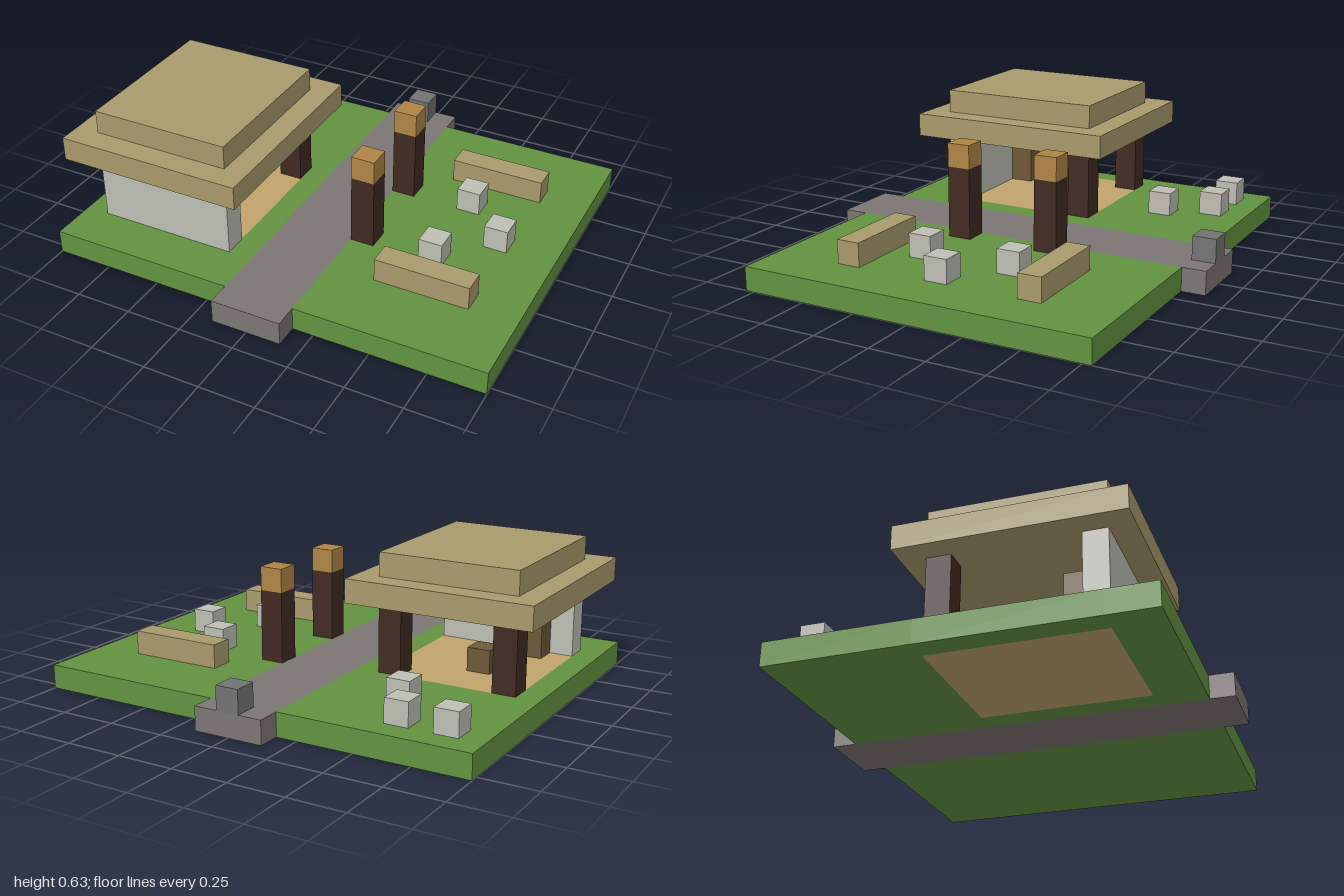
import * as THREE from 'three';

const U = 2 / 19; // one block

const mat = (name, color) => {
  const m = new THREE.MeshStandardMaterial({ color });
  m.name = name;
  return m;
};

export function createModel() {
  const grass = mat('grass green', 0x629240);
  const path = mat('path grey', 0x7b7674);
  const marker = mat('marker grey', 0x737373);
  const straw = mat('straw tan', 0xa99a6c);
  const sand = mat('floor tan', 0xc2a46c);
  const stone = mat('pale stone', 0xbdbeb4);
  const timber = mat('dark timber', 0x402a22);
  const wood = mat('brown wood', 0x6c5937);
  const lamp = mat('lamp amber', 0xb08545);

  const model = new THREE.Group();
  model.name = 'gardenPavilion';

  // Box from min/max block coordinates on a 19 x 6 x 17 grid
  const block = (name, material, [x0, x1], [y0, y1], [z0, z1], parent = model) => {
    const mesh = new THREE.Mesh(
      new THREE.BoxGeometry((x1 - x0) * U, (y1 - y0) * U, (z1 - z0) * U), material);
    mesh.position.set(((x0 + x1) / 2 - 9.5) * U, ((y0 + y1) / 2) * U, ((z0 + z1) / 2 - 8.5) * U);
    mesh.name = name;
    parent.add(mesh);
  };
  const group = (name) => {
    const g = new THREE.Group();
    g.name = name;
    model.add(g);
    return g;
  };

  // Lawn, laid around the path and the pavilion floor
  const lawn = group('lawn');
  block('lawnLeft', grass, [11, 19], [0, 1], [1.01, 15.99], lawn);
  block('lawnBack', grass, [0, 8], [0, 1], [1.01, 7], lawn);
  block('lawnFront', grass, [0, 8], [0, 1], [14, 15.99], lawn);
  block('lawnOuterStrip', grass, [0, 1], [0, 1], [7, 14], lawn);
  block('lawnInnerStrip', grass, [7, 8], [0, 1], [7, 14], lawn);

  // Path with an end marker
  block('path', path, [8, 11], [0, 1], [0, 17]);
  block('pathMarker', marker, [9, 10], [1, 2], [0, 1]);

  // Pavilion
  const pavilion = group('pavilion');
  block('floor', sand, [1, 7], [0, 1], [7, 14], pavilion);
  block('frontWall', stone, [1, 7], [1, 4], [13, 14], pavilion);
  for (const x of [1, 6]) block('backPost', timber, [x, x + 1], [1, 4], [7, 8], pavilion);
  block('cabinet', wood, [2, 3], [1, 3], [12, 13], pavilion);
  block('stool', wood, [3, 4], [1, 2], [9, 10], pavilion);
  block('roofEaves', straw, [0, 8], [4, 5], [6, 15], pavilion);
  block('roofTop', straw, [1, 7], [5, 6], [7, 14], pavilion);

  // Lamp posts beside the path
  for (const z of [6, 10]) {
    const post = group('lampPost');
    block('lampPole', timber, [11, 12], [1, 4], [z, z + 1], post);
    block('lampHead', lamp, [11, 12], [4, 5], [z, z + 1], post);
  }

  // Benches
  for (const z of [4, 12]) block('bench', straw, [13, 17], [1, 2], [z, z + 1]);

  // Scattered stones
  for (const [x, z] of [[1, 2], [3, 2], [4, 4], [14, 6], [16, 8], [14, 10]])
    block('gardenStone', stone, [x, x + 1], [1, 2], [z, z + 1]);

  return model;
}
